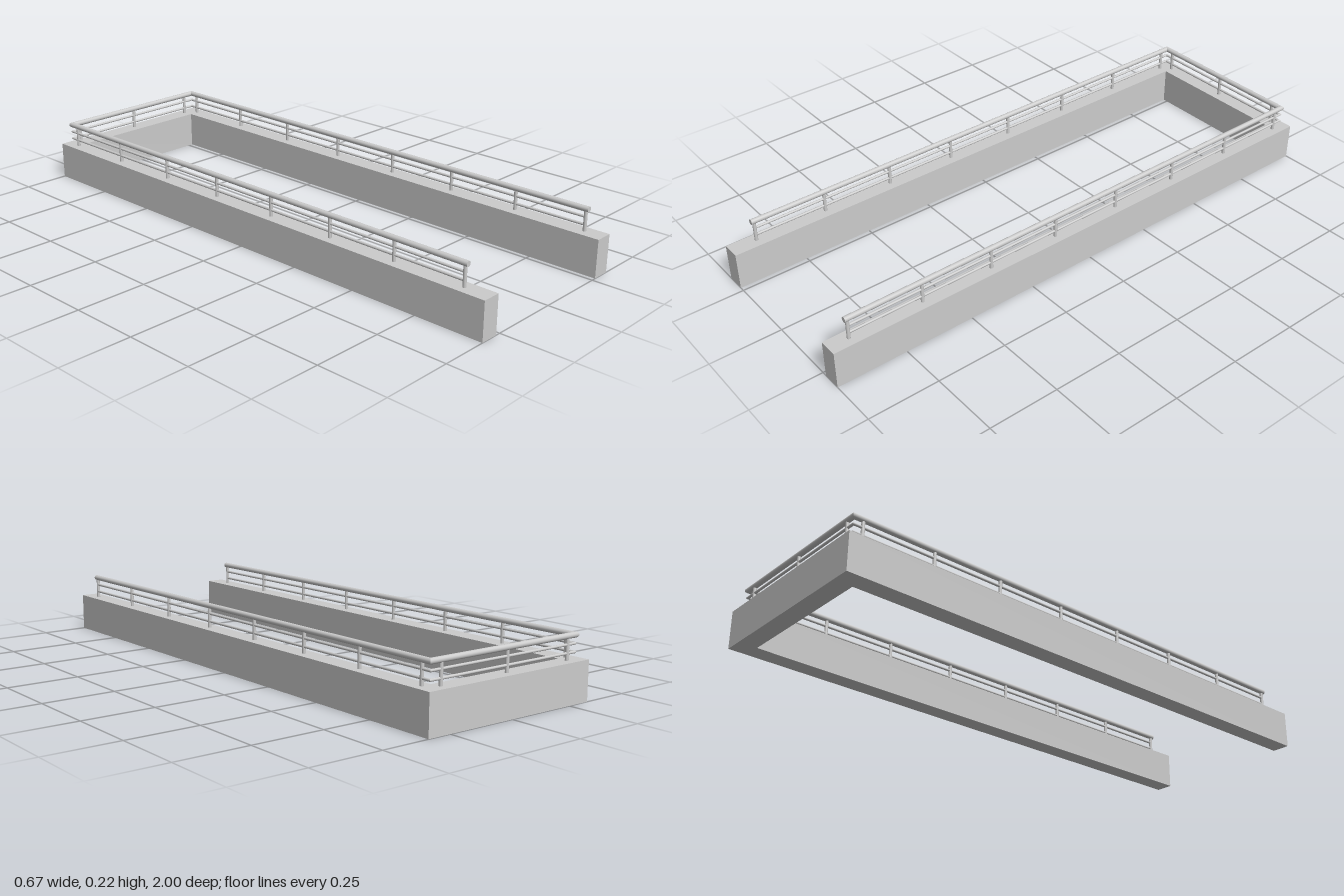
import * as THREE from 'three';

const material = new THREE.MeshStandardMaterial({ color: 0xcccccc });
const X = 0.301, BACK = -0.968, DECK = 0.133;

function add(parent, name, geometry) {
  const mesh = new THREE.Mesh(geometry, material);
  mesh.name = name;
  parent.add(mesh);
  return mesh;
}

// Round bar along z from z0 (mitred at 45 degrees) to z1 (square); side = +1 or -1
function sideBar(side, r, y, z1) {
  const len = z1 - BACK;
  const g = new THREE.CylinderGeometry(r, r, len, 16).rotateX(Math.PI / 2);
  const p = g.attributes.position;
  for (let i = 0; i < p.count; i++) {
    if (p.getZ(i) < 0) p.setZ(i, p.getZ(i) - side * p.getX(i));
  }
  return g.translate(side * X, y, (z1 + BACK) / 2);
}

// Round bar across the back, mitred at both ends
function backBar(r, y) {
  const g = new THREE.CylinderGeometry(r, r, 2 * X, 16).rotateZ(Math.PI / 2);
  const p = g.attributes.position;
  for (let i = 0; i < p.count; i++) {
    p.setX(i, p.getX(i) - Math.sign(p.getX(i)) * p.getZ(i));
  }
  return g.translate(0, y, BACK);
}

export function createModel() {
  const model = new THREE.Group();
  model.name = 'railedWall';

  // U-shaped wall, open to the front
  const plan = new THREE.Shape([
    [-0.333, -1], [-0.267, -1], [-0.267, 0.935], [0.267, 0.935],
    [0.267, -1], [0.333, -1], [0.333, 1], [-0.333, 1],
  ].map(([x, y]) => new THREE.Vector2(x, y)));
  const wall = new THREE.ExtrudeGeometry(plan, { depth: DECK, bevelEnabled: false });
  add(model, 'wall', wall.rotateX(-Math.PI / 2));

  const railing = new THREE.Group();
  railing.name = 'railing';
  model.add(railing);

  // Handrail and two thinner rails below it
  const rails = [
    ['handrail', 0.0095, 0.209, 0.011],
    ['upperRail', 0.0045, 0.182, 0],
    ['lowerRail', 0.0045, 0.155, 0],
  ];
  const lastPost = { 1: 0.928, '-1': 0.905 };
  for (const [name, r, y, overhang] of rails) {
    add(railing, name + 'Back', backBar(r, y));
    for (const side of [1, -1]) {
      add(railing, name + (side > 0 ? 'Left' : 'Right'),
        sideBar(side, r, y, lastPost[side] + overhang));
    }
  }

  // Posts along both sides and the back
  const postGeometry = new THREE.CylinderGeometry(0.006, 0.006, 0.072, 16);
  const post = (x, z) => add(railing, 'post', postGeometry).position.set(x, DECK + 0.035, z);
  for (const side of [1, -1]) {
    for (let i = 0; i < 8; i++) {
      post(side * X, THREE.MathUtils.lerp(-0.935, lastPost[side], i / 7));
    }
  }
  for (const x of [-0.268, -0.005, 0.26]) post(x, BACK);

  return model;
}
